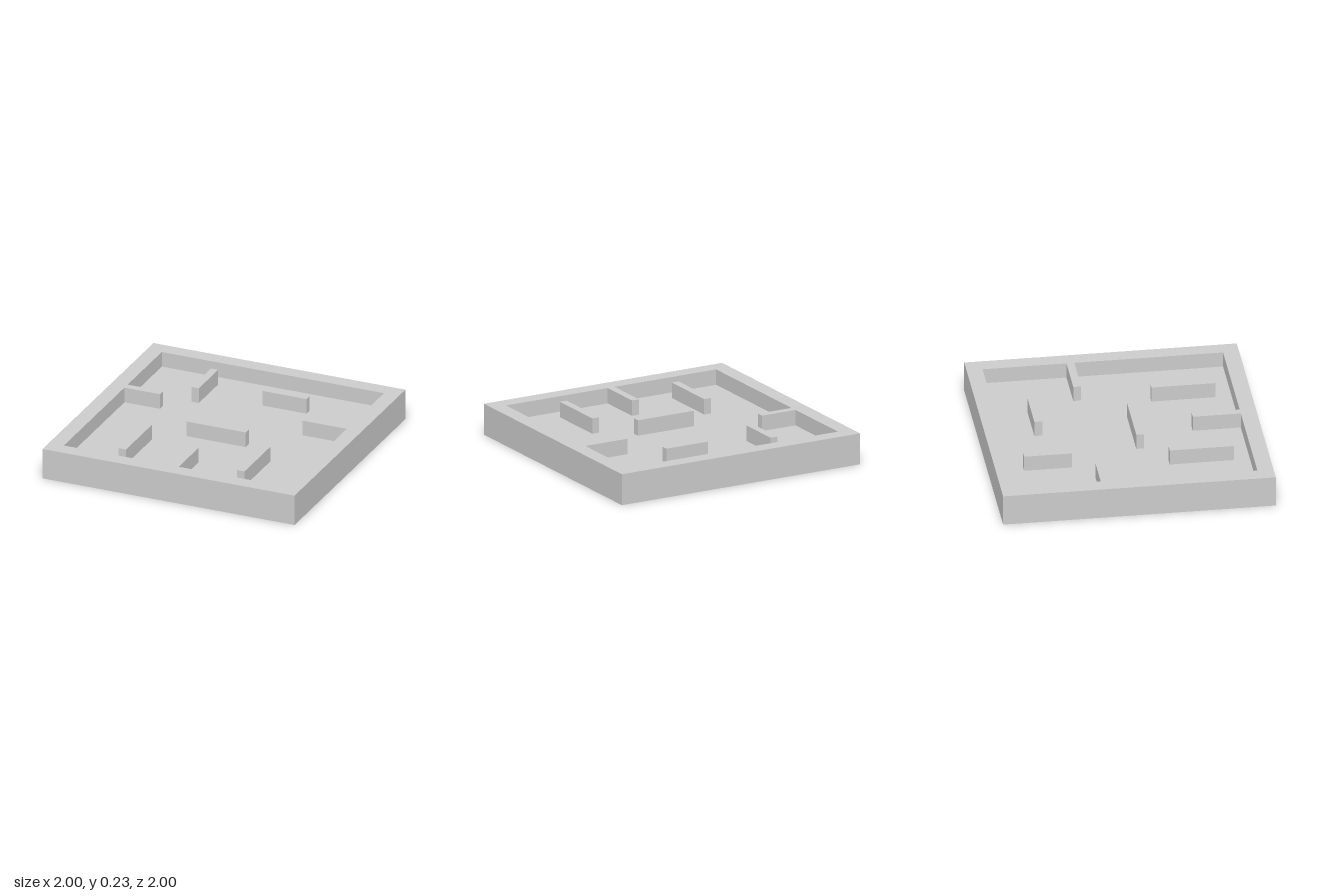
import * as THREE from 'three';

const HEIGHT = 0.235;      // full height of tray, rim and walls
const FLOOR = 0.118;       // top of the floor slab
const INNER = 0.882;       // half-width of the recess
const T = 0.029;           // half-thickness of the walls

export function createModel() {
  const group = new THREE.Group();
  const material = new THREE.MeshStandardMaterial({ color: 0xcccccc, flatShading: true });

  const add = (name, geometry, x = 0, y = 0, z = 0) => {
    const mesh = new THREE.Mesh(geometry, material);
    mesh.name = name;
    mesh.position.set(x, y, z);
    group.add(mesh);
  };

  // Floor slab
  add('floor', new THREE.BoxGeometry(2, FLOOR, 2), 0, FLOOR / 2, 0);

  // Rim with three walls growing inward from it; outline points are [x, z]
  const path = (points) => points.map(([x, z]) => new THREE.Vector2(x, -z));
  const rim = new THREE.Shape(path([[-1, 1], [1, 1], [1, -1], [-1, -1]]));
  const sideZ = -0.238;
  rim.holes.push(new THREE.Path(path([
    [-INNER, -INNER], [INNER, -INNER],
    [INNER, sideZ - T], [0.53, sideZ - T], [0.53, sideZ + T], [INNER, sideZ + T],
    [INNER, INNER],
    [T, INNER], [T, 0.53], [-T, 0.53], [-T, INNER],
    [-INNER, INNER],
    [-INNER, sideZ + T], [-0.6, sideZ + T], [-0.6, sideZ - T], [-INNER, sideZ - T],
  ])));
  const rimGeometry = new THREE.ExtrudeGeometry(rim, { depth: HEIGHT - FLOOR, bevelEnabled: false });
  rimGeometry.rotateX(-Math.PI / 2);
  add('rimWithWalls', rimGeometry, 0, FLOOR, 0);

  // Free-standing walls: name, centre x, centre z, size x, size z
  const walls = [
    ['backRightWall', -0.412, -0.591, 2 * T, 0.35],
    ['backLeftWall', 0.232, -0.591, 0.35, 2 * T],
    ['middleWall', 0, 0.115, 0.47, 2 * T],
    ['frontRightWall', -0.47, 0.529, 2 * T, 0.47],
    ['frontLeftWall', 0.47, 0.529, 2 * T, 0.47],
  ];
  for (const [name, x, z, w, d] of walls) {
    add(name, new THREE.BoxGeometry(w, HEIGHT - FLOOR, d), x, (HEIGHT + FLOOR) / 2, z);
  }
  return group;
}
